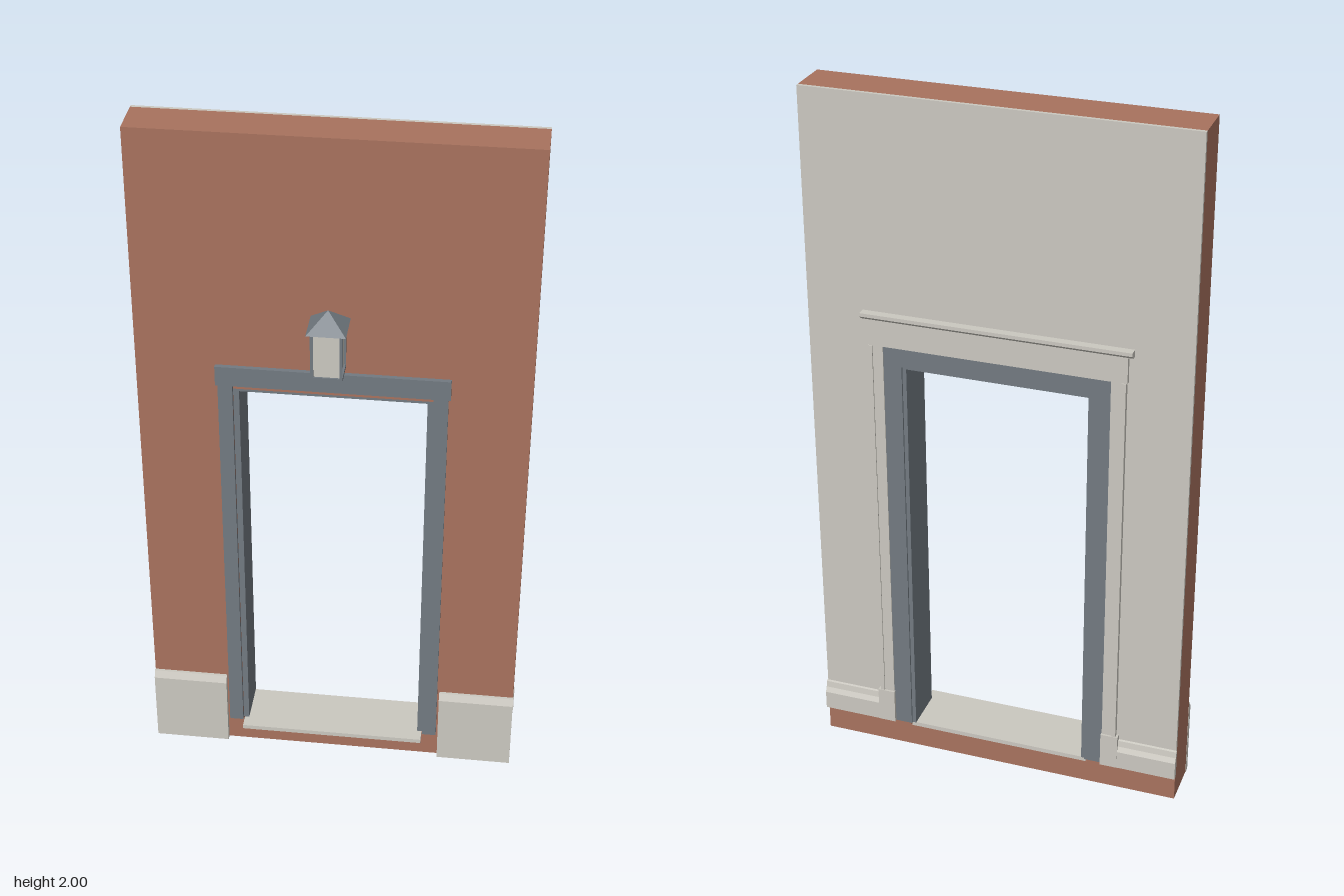
import * as THREE from 'three';

export function createModel() {
  const model = new THREE.Group();
  model.name = 'doorwayWall';
  const mat = (name, color) => {
    const m = new THREE.MeshStandardMaterial({ color });
    m.name = name;
    return m;
  };
  const brick = mat('brick', 0xa8725e);
  const cream = mat('cream', 0xcbc8c0);
  const grey = mat('slate grey', 0x727a81);

  const add = (name, geo, material, parent = model) => {
    const mesh = new THREE.Mesh(geo, material);
    mesh.name = name;
    parent.add(mesh);
    return mesh;
  };
  // Box given by its limits on each axis
  const box = (name, material, x0, x1, y0, y1, z0, z1, parent = model) => {
    const g = new THREE.BoxGeometry(x1 - x0, y1 - y0, z1 - z0);
    g.translate((x0 + x1) / 2, (y0 + y1) / 2, (z0 + z1) / 2);
    return add(name, g, material, parent);
  };
  // Same box on both sides of the door
  const pair = (name, material, x0, x1, ...rest) => {
    box(name + 'Left', material, x0, x1, ...rest);
    box(name + 'Right', material, -x1, -x0, ...rest);
  };
  // Moulding: [z, y] profile swept along x
  const moulding = (name, material, points, x0, x1) => {
    const shape = new THREE.Shape(points.map(([z, y]) => new THREE.Vector2(-z, y)));
    const g = new THREE.ExtrudeGeometry(shape, { depth: x1 - x0, bevelEnabled: false });
    g.rotateY(Math.PI / 2);
    g.translate(x0, 0, 0);
    return add(name, g, material);
  };
  // Wall sheet with a doorway notch cut from its lower edge
  const sheet = (name, material, y0, z0, z1) => {
    const s = new THREE.Shape();
    s.moveTo(-W, y0);
    if (y0 < FLOOR) {
      s.lineTo(W, y0);
      s.lineTo(W, 2);
      s.lineTo(-W, 2);
      const hole = new THREE.Path();
      hole.moveTo(-0.27, 0.067);
      hole.lineTo(-0.27, 1.252);
      hole.lineTo(0.27, 1.252);
      hole.lineTo(0.27, 0.067);
      s.holes.push(hole);
    } else {
      [[-0.27, y0], [-0.27, 1.252], [0.27, 1.252], [0.27, y0], [W, y0], [W, 2], [-W, 2]]
        .forEach(([x, y]) => s.lineTo(x, y));
    }
    const g = new THREE.ExtrudeGeometry(s, { depth: z1 - z0, bevelEnabled: false });
    g.translate(0, 0, z0);
    add(name, g, material);
  };

  // Wall, inner plaster and floor
  const W = 0.532, FLOOR = 0.08;
  sheet('brickWall', brick, 0, -0.12, 0);
  sheet('plaster', cream, FLOOR, -0.13, -0.12);
  box('wallFoot', brick, -W, W, 0, FLOOR - 0.013, -0.13, -0.12);
  pair('wallFootEdge', brick, 0.27, W, FLOOR - 0.013, FLOOR, -0.13, -0.12);
  box('threshold', cream, -0.267, 0.267, 0.067, FLOOR, -0.13, 0.036);

  // Door lining
  pair('jambLining', grey, 0.254, 0.27, FLOOR, 1.252, -0.132, -0.003);
  box('headLining', grey, -0.254, 0.254, 1.243, 1.252, -0.132, -0.003);

  // Outer door trim
  pair('outerJamb', grey, 0.27, 0.31, FLOOR, 1.267, 0, 0.01);
  box('outerHead', grey, -0.316, 0.316, 1.267, 1.325, 0, 0.013);

  // Inner door trim
  pair('innerJamb', grey, 0.265, 0.316, FLOOR, 1.25, -0.138, -0.13);
  box('innerHead', grey, -0.316, 0.316, 1.25, 1.305, -0.138, -0.13);

  // Inner casing with plinth blocks, frieze and cap
  pair('casing', cream, 0.316, 0.357, 0.185, 1.305, -0.141, -0.13);
  pair('casingEdge', cream, 0.345, 0.357, 0.185, 1.305, -0.145, -0.141);
  pair('plinthBlock', cream, 0.314, 0.364, FLOOR, 0.185, -0.147, -0.13);
  box('frieze', cream, -0.36, 0.36, 1.305, 1.383, -0.142, -0.13);
  moulding('casingCap', cream, [
    [-0.13, 1.38], [-0.142, 1.38], [-0.154, 1.39], [-0.154, 1.4], [-0.13, 1.4],
  ], -0.374, 0.374);

  // Base mouldings inside and plinths outside
  for (const [side, a, b] of [['Left', 0.364, 0.534], ['Right', -0.534, -0.364]]) {
    moulding('skirting' + side, cream, [
      [-0.13, FLOOR], [-0.146, FLOOR], [-0.146, 0.135], [-0.139, 0.15], [-0.136, 0.168], [-0.13, 0.17],
    ], a, b);
  }
  for (const [side, a, b] of [['Left', 0.316, 0.533], ['Right', -0.533, -0.316]]) {
    moulding('plinth' + side, cream, [
      [0, 0], [0.017, 0], [0.017, 0.222], [0.008, 0.243], [0, 0.243],
    ], a, b);
  }

  // Wall lantern
  const lantern = new THREE.Group();
  lantern.name = 'lantern';
  model.add(lantern);
  const cz = 0.095;
  box('backPlate', grey, -0.03, 0.03, 1.39, 1.493, 0, 0.016, lantern);
  box('arm', grey, -0.007, 0.007, 1.433, 1.449, 0.016, 0.062, lantern);
  box('glass', cream, -0.037, 0.037, 1.39, 1.52, cz - 0.037, cz + 0.037, lantern);
  box('lanternBase', grey, -0.042, 0.042, 1.38, 1.39, cz - 0.042, cz + 0.042, lantern);
  for (const sx of [-1, 1]) for (const sz of [-1, 1]) {
    const x = sx * 0.038, z = cz + sz * 0.038;
    box('cornerPost', grey, x - 0.004, x + 0.004, 1.39, 1.52, z - 0.004, z + 0.004, lantern);
  }
  const roof = new THREE.ConeGeometry(0.052 * Math.SQRT2, 0.05, 4, 1).toNonIndexed();
  roof.rotateY(Math.PI / 4);
  roof.computeVertexNormals();
  roof.translate(0, 1.543, cz);
  add('lanternRoof', roof, grey, lantern);

  return model;
}
